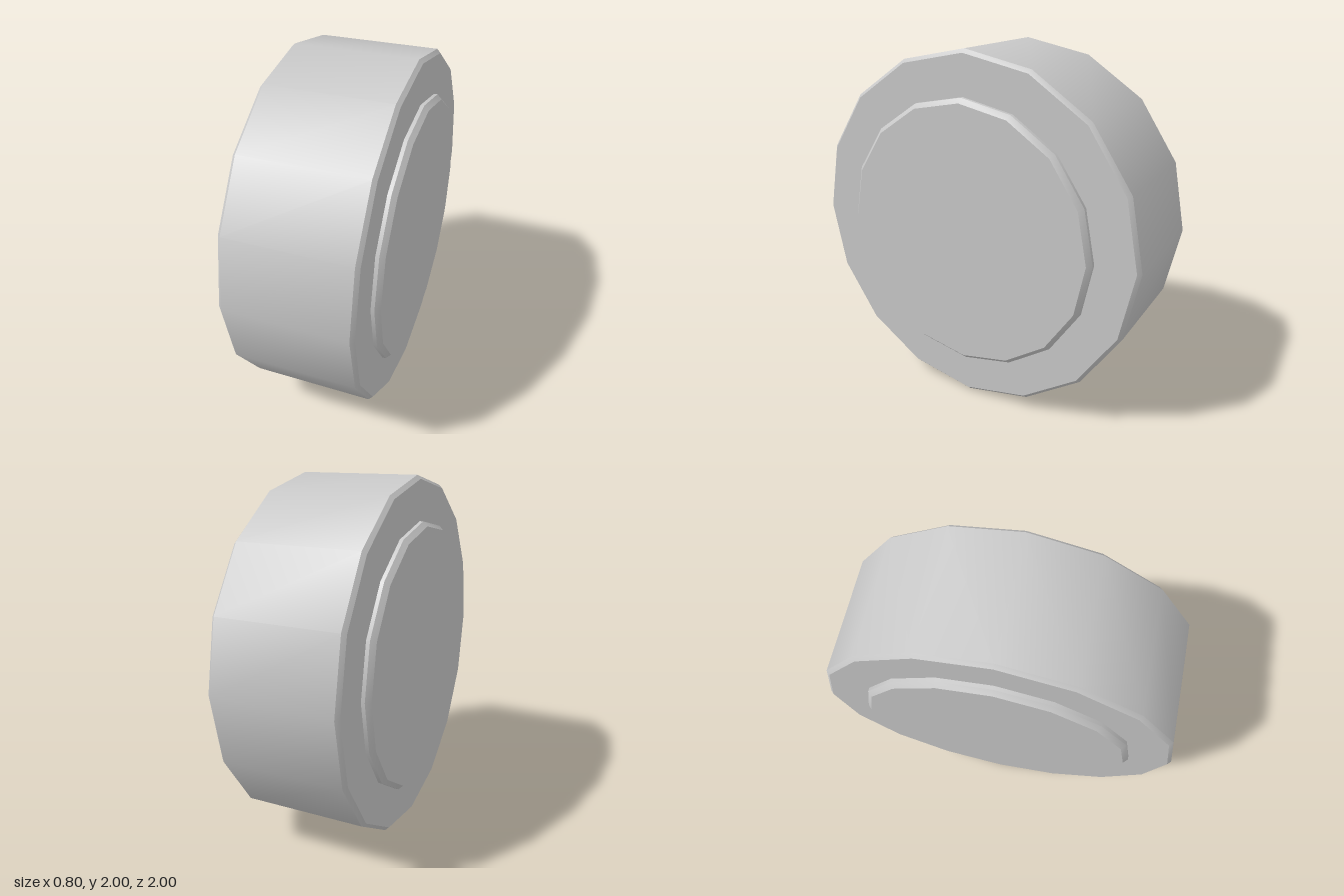
import * as THREE from 'three';
import { toCreasedNormals } from 'three/addons/utils/BufferGeometryUtils.js';

const SIDES = 16;

// Solid disc with bevelled rims, its axle along x
function bevelledDisc(name, radius, halfWidth, bevel, material) {
  const profile = [
    [0, -halfWidth],
    [radius - bevel, -halfWidth],
    [radius, -halfWidth + bevel],
    [radius, halfWidth - bevel],
    [radius - bevel, halfWidth],
    [0, halfWidth],
  ].map(([r, h]) => new THREE.Vector2(r, h));
  const geometry = new THREE.LatheGeometry(profile, SIDES).rotateZ(-Math.PI / 2);
  const mesh = new THREE.Mesh(toCreasedNormals(geometry, 0.6), material);
  mesh.name = name;
  mesh.position.y = 1;
  return mesh;
}

export function createModel() {
  const model = new THREE.Group();
  model.name = 'wheel';
  const grey = new THREE.MeshStandardMaterial({ color: 0xc8c8c8 });
  grey.name = 'lightGrey';

  // Wide tyre, with the narrower hub standing proud on both sides
  model.add(bevelledDisc('tyre', 1, 0.355, 0.02, grey));
  model.add(bevelledDisc('hub', 0.76, 0.4, 0.025, grey));
  return model;
}
